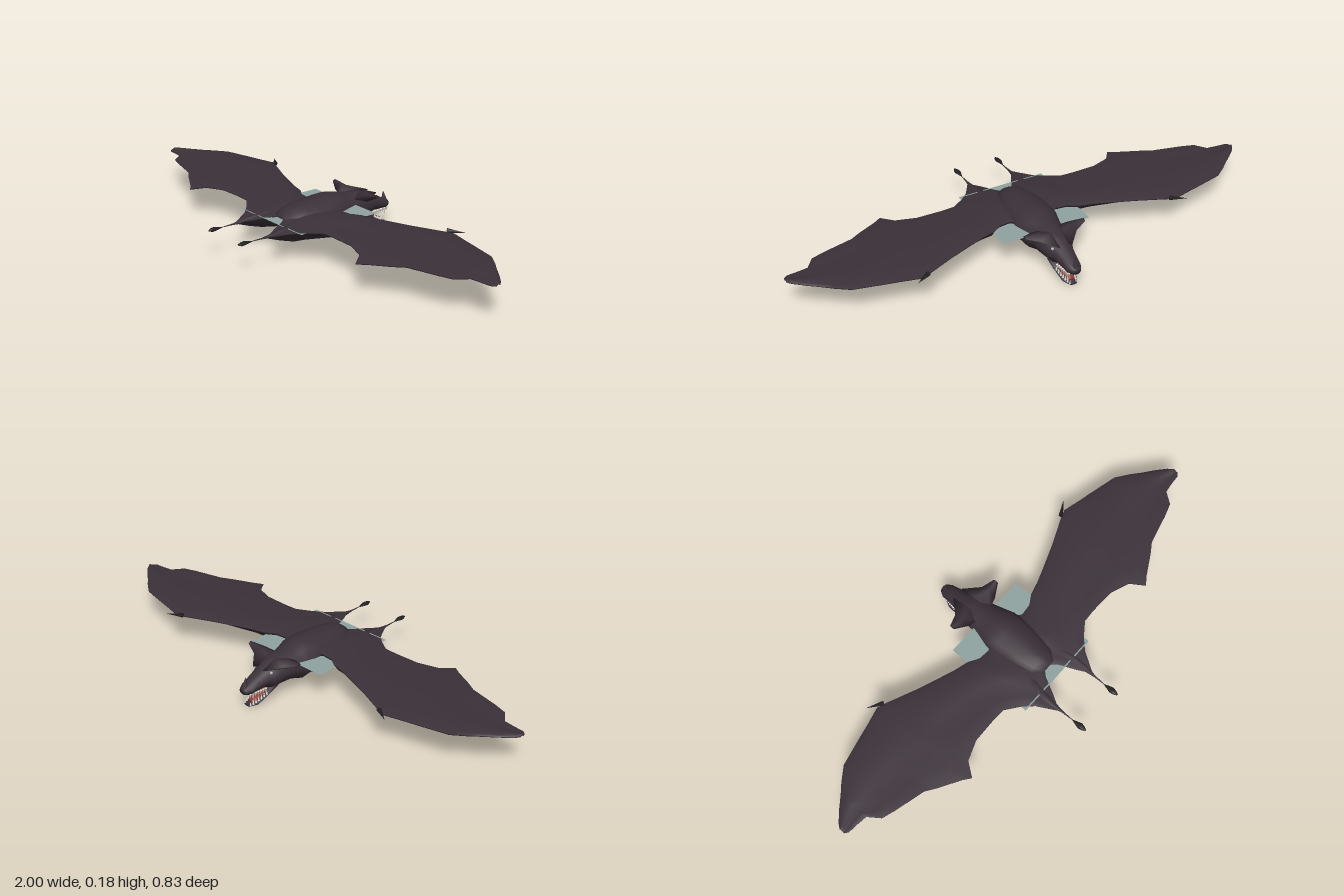
import * as THREE from 'three';

const paint = (name, color) => {
  const m = new THREE.MeshStandardMaterial({ color });
  m.name = name;
  return m;
};

// Skin through equal-length rings, closed at both ends; rings turn counterclockwise about the travel direction.
function loft(rings) {
  const n = rings[0].length, pos = [], index = [];
  rings.forEach(r => r.forEach(p => pos.push(...p)));
  for (let i = 0; i < rings.length - 1; i++) {
    for (let j = 0; j < n; j++) {
      const a = i * n + j, b = i * n + (j + 1) % n;
      index.push(a, b, a + n, b, b + n, a + n);
    }
  }
  [[rings[0], 0], [rings[rings.length - 1], (rings.length - 1) * n]].forEach(([r, start], end) => {
    const c = pos.length / 3;
    pos.push(...[0, 1, 2].map(k => r.reduce((s, p) => s + p[k], 0) / n));
    for (let j = 0; j < n; j++) {
      const a = start + j, b = start + (j + 1) % n;
      index.push(...(end ? [a, b, c] : [b, a, c]));
    }
  });
  const g = new THREE.BufferGeometry();
  g.setAttribute('position', new THREE.Float32BufferAttribute(pos, 3));
  g.setIndex(index);
  g.computeVertexNormals();
  return g;
}

// Oval cross-section: z, top, bottom, half width, centre x
function oval([z, top, bottom, w, x = 0], sides = 12) {
  return Array.from({ length: sides }, (_, j) => {
    const t = (j / sides) * Math.PI * 2;
    return [x + w * Math.cos(t), (top + bottom) / 2 + ((top - bottom) / 2) * Math.sin(t), z];
  });
}
const ovalLoft = (rows, sides) => loft([...rows].sort((a, b) => a[0] - b[0]).map(r => oval(r, sides)));

// Wing stations: x, leading z, trailing z, depth of the flesh below
const STATIONS = [
  [0, -0.12, 0.12, 0.085], [0.035, -0.11, 0.16, 0.085], [0.07, -0.1, 0.23, 0.085],
  [0.102, -0.08, 0.285, 0.083], [0.15, -0.085, 0.205, 0.072], [0.19, -0.11, 0.165, 0.062],
  [0.245, -0.125, 0.125, 0.046], [0.3, -0.145, 0.122, 0.04], [0.405, -0.185, 0.125, 0.025],
  [0.485, -0.22, 0.155, 0.008], [0.525, -0.238, 0.21, 0.004], [0.56, -0.25, 0.185, 0.003],
  [0.64, -0.23, 0.14, 0.003], [0.685, -0.22, 0.11, 0.003], [0.81, -0.19, 0.078, 0.003],
  [0.865, -0.15, 0.06, 0.003], [0.9, -0.12, 0.012, 0.003], [0.945, -0.085, 0.006, 0.002],
  [0.985, -0.05, 0.003, 0.001], [0.999, -0.032, -0.008, 0.001],
];
const CHORD = [0, 0.08, 0.2, 0.35, 0.5, 0.65, 0.82, 1];

function wingGeometry() {
  return loft(STATIONS.map(([x, lead, trail, depth]) => {
    const surface = u => {
      const z = lead + (trail - lead) * u;
      const y = 0.141 + 0.007 * Math.sin(Math.PI * Math.min(1, u * 1.6)) - Math.max(0, z - 0.1) * 0.13;
      return [y, z];
    };
    const top = CHORD.map(u => [x, ...surface(u)]);
    const under = [...CHORD].reverse().map(u => {
      const [y, z] = surface(u);
      const flesh = Math.sin(Math.PI * Math.pow(u, 0.7));
      return [x, y - 0.004 - depth * Math.max(0, flesh), z];
    });
    return [...top, ...under];
  }));
}

// Cone standing between a base point and a tip
function spike(base, tip, radius, sides = 6) {
  const a = new THREE.Vector3(...base), b = new THREE.Vector3(...tip);
  const dir = b.clone().sub(a), g = new THREE.ConeGeometry(radius, dir.length(), sides);
  g.applyQuaternion(new THREE.Quaternion().setFromUnitVectors(new THREE.Vector3(0, 1, 0), dir.normalize()));
  const mid = a.add(b).multiplyScalar(0.5);
  return g.translate(mid.x, mid.y, mid.z);
}

export function createModel() {
  const model = new THREE.Group();
  const hide = paint('dark hide', 0x3b3139);
  const claw = paint('claw', 0x242024);
  const tooth = paint('tooth', 0xe8e4dc);
  const red = paint('mouth red', 0x8c3a30);
  const eyeMat = paint('eye', 0xb9b9bb);
  const slate = paint('grey green', 0x8fa3a0);
  slate.side = THREE.DoubleSide;

  const add = (name, geometry, material, parent = model) => {
    const m = new THREE.Mesh(geometry, material);
    m.name = name;
    parent.add(m);
    return m;
  };

  // Body, neck and upper head
  add('bodyAndHead', ovalLoft([
    [0.14, 0.148, 0.085, 0.045], [0.105, 0.166, 0.065, 0.07], [0.05, 0.173, 0.053, 0.088],
    [0, 0.177, 0.058, 0.094], [-0.07, 0.182, 0.036, 0.1], [-0.11, 0.184, 0.04, 0.094],
    [-0.145, 0.177, 0.028, 0.085], [-0.2, 0.165, 0.046, 0.068], [-0.25, 0.163, 0.05, 0.068],
    [-0.29, 0.148, 0.046, 0.055], [-0.32, 0.132, 0.06, 0.042], [-0.36, 0.115, 0.058, 0.035],
    [-0.39, 0.1, 0.055, 0.032], [-0.413, 0.09, 0.062, 0.018],
  ], 14), hide);

  // Open lower jaw and tongue
  add('lowerJaw', ovalLoft([
    [-0.27, 0.08, 0.046, 0.046], [-0.31, 0.052, 0.03, 0.042],
    [-0.36, 0.02, 0.001, 0.031], [-0.392, 0.012, 0.002, 0.016],
  ]), hide);
  add('tongue', ovalLoft([
    [-0.29, 0.066, 0.045, 0.028], [-0.335, 0.042, 0.028, 0.025], [-0.375, 0.023, 0.012, 0.014],
  ], 8), red);

  // Leaf-shaped nose horn
  add('noseHorn', spike([0, 0.085, -0.403], [0, 0.13, -0.396], 0.014), hide);

  // Flat square plate through the body
  add('squarePlate', new THREE.PlaneGeometry(0.38, 0.38).rotateX(-Math.PI / 2).translate(0, 0.13, 0), slate);

  const wing = wingGeometry();
  const earRing = ([x, z0, z1, y0, y1]) => {
    const zm = (z0 + z1) / 2, ym = (y0 + y1) / 2;
    return [[x, ym, z0], [x, y1, zm], [x, ym, z1], [x, y0, zm]];
  };
  const ear = loft([
    [0.025, -0.335, -0.19, 0.115, 0.168], [0.08, -0.275, -0.205, 0.138, 0.17], [0.13, -0.255, -0.233, 0.163, 0.178],
  ].map(earRing));

  // Paired parts, built on +x and mirrored
  for (const s of [1, -1]) {
    const half = new THREE.Group();
    half.name = s > 0 ? 'leftParts' : 'rightParts';
    half.scale.x = s;
    model.add(half);

    add('wing', wing, hide, half);
    add('wingClaw', spike([0.53, 0.145, -0.242], [0.59, 0.145, -0.28], 0.01, 5), claw, half);
    add('ear', ear, hide, half);
    add('eye', new THREE.SphereGeometry(0.006, 8, 6).translate(0.042, 0.126, -0.302), eyeMat, half);

    // Tapering leg, thin shank and pointed foot
    add('leg', ovalLoft([
      [0.05, 0.14, 0.055, 0.035, 0.065], [0.14, 0.14, 0.08, 0.032, 0.085], [0.2, 0.133, 0.095, 0.022, 0.095],
      [0.25, 0.126, 0.107, 0.012, 0.098], [0.3, 0.119, 0.113, 0.004, 0.097], [0.355, 0.117, 0.115, 0.001, 0.096],
    ], 8), hide, half);
    add('foot', ovalLoft([
      [0.35, 0.117, 0.115, 0.002, 0.096], [0.385, 0.124, 0.111, 0.013, 0.096],
      [0.4, 0.124, 0.108, 0.01, 0.096], [0.415, 0.119, 0.114, 0.003, 0.096],
    ], 6), claw, half);

    // Tooth rows along both jaws
    for (let i = 0; i < 7; i++) {
      const t = i / 6, z = -0.325 - 0.07 * t;
      const long = i === 5 ? 0.028 : 0.015;
      add('upperTooth', spike([0.034 - 0.01 * t, 0.066, z], [0.032 - 0.01 * t, 0.06 - long, z], 0.005, 5), tooth, half);
      const zl = -0.32 - 0.068 * t, yl = 0.034 - 0.03 * t;
      add('lowerTooth', spike([0.034 - 0.02 * t, yl, zl], [0.033 - 0.02 * t, yl + 0.012 + long * 0.6, zl], 0.005, 5), tooth, half);
    }
  }
  return model;
}
